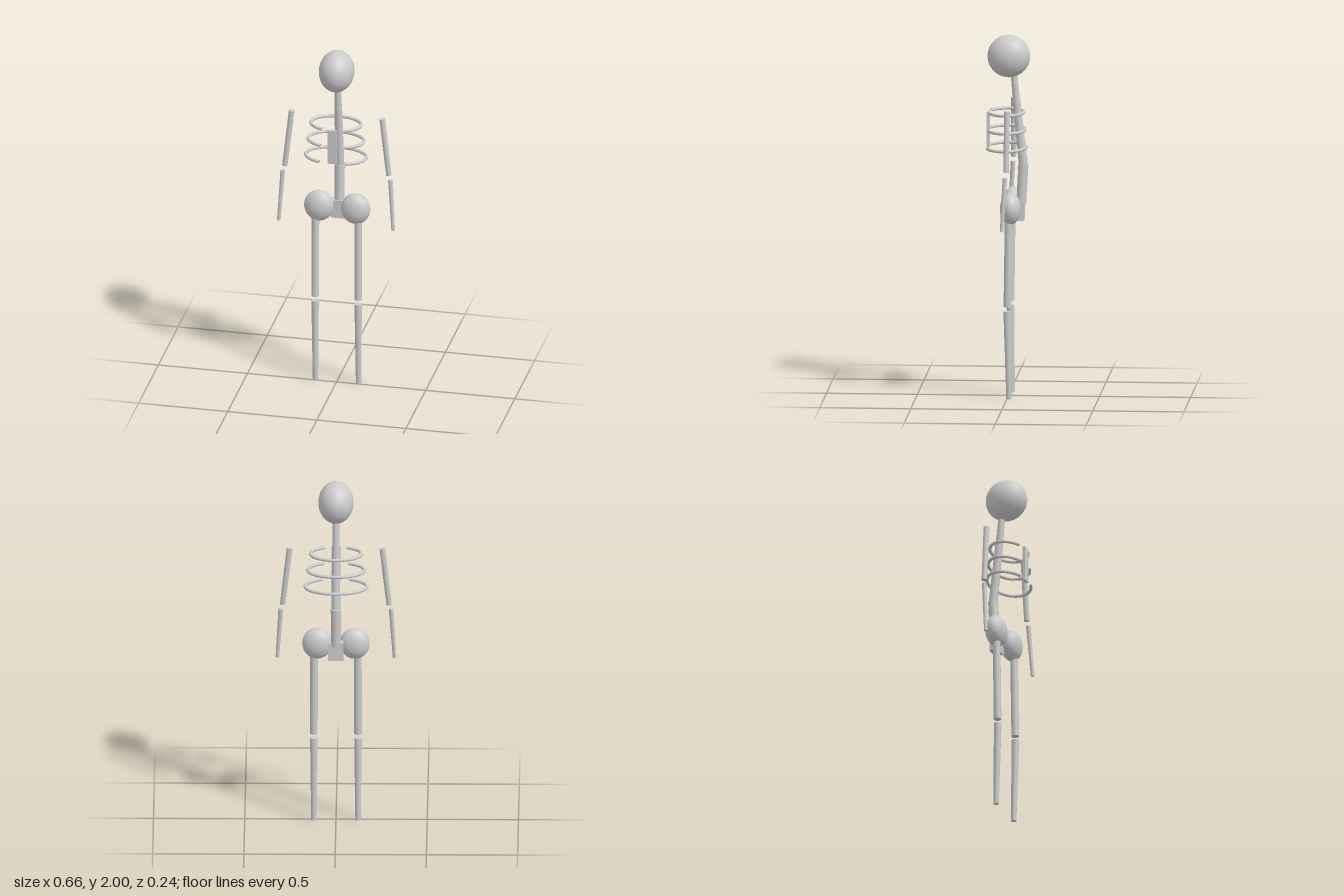
import * as THREE from 'three';

const material = new THREE.MeshStandardMaterial({ color: 0xcccccc });
const openMaterial = new THREE.MeshStandardMaterial({ color: 0xcccccc, side: THREE.DoubleSide });
const UP = new THREE.Vector3(0, 1, 0);

function add(parent, name, geometry, mat = material) {
  const mesh = new THREE.Mesh(geometry, mat);
  mesh.name = name;
  parent.add(mesh);
  return mesh;
}

// Tapered cylinder running from one point to another
function bone(parent, name, top, bottom, rTop, rBottom) {
  const a = new THREE.Vector3(...top);
  const b = new THREE.Vector3(...bottom);
  const mesh = add(parent, name, new THREE.CylinderGeometry(rTop, rBottom, a.distanceTo(b), 16));
  mesh.position.copy(a).add(b).multiplyScalar(0.5);
  mesh.quaternion.setFromUnitVectors(UP, a.sub(b).normalize());
}

function ellipsoid(parent, name, centre, radii) {
  const mesh = add(parent, name, new THREE.SphereGeometry(1, 32, 24));
  mesh.position.set(...centre);
  mesh.scale.set(...radii);
}

function box(parent, name, centre, size) {
  add(parent, name, new THREE.BoxGeometry(...size)).position.set(...centre);
}

// Elliptical hoop around the back, open at the front
class RibCurve extends THREE.Curve {
  constructor(rx, rz, y, z) {
    super();
    Object.assign(this, { rx, rz, y, z });
  }
  getPoint(t, target = new THREE.Vector3()) {
    const gap = 0.45;
    const angle = gap + t * (2 * Math.PI - 2 * gap);
    return target.set(this.rx * Math.sin(angle), this.y, this.z + this.rz * Math.cos(angle));
  }
}

export function createModel() {
  const model = new THREE.Group();
  model.name = 'skeleton';

  ellipsoid(model, 'skull', [0, 1.883, -0.002], [0.097, 0.117, 0.117]);

  // Spine
  bone(model, 'neck', [0, 1.79, -0.03], [0, 1.65, -0.043], 0.018, 0.02);
  bone(model, 'upperSpine', [0, 1.65, -0.043], [0, 1.283, -0.082], 0.021, 0.025);
  bone(model, 'lowerSpine', [0, 1.283, -0.082], [0, 1.06, -0.07], 0.028, 0.027);
  box(model, 'sacrum', [0, 1.028, -0.062], [0.084, 0.105, 0.05]);

  // Rib cage
  const ribCage = new THREE.Group();
  ribCage.name = 'ribCage';
  model.add(ribCage);
  [[0.139, 0.096, 1.572], [0.155, 0.103, 1.475], [0.169, 0.109, 1.378]].forEach(([rx, rz, y]) => {
    add(ribCage, 'rib', new THREE.TubeGeometry(new RibCurve(rx, rz, y, 0.012), 64, 0.009, 10), openMaterial);
  });
  box(ribCage, 'sternum', [0, 1.475, 0.111], [0.05, 0.2, 0.014]);

  // Hips and limbs, mirrored left and right
  for (const s of [1, -1]) {
    const side = s > 0 ? 'left' : 'right';
    ellipsoid(model, side + 'Hip', [s * 0.103, 1.053, -0.018], [0.082, 0.089, 0.057]);
    bone(model, side + 'Thigh', [s * 0.12, 1.04, -0.01], [s * 0.121, 0.51, -0.003], 0.021, 0.021);
    bone(model, side + 'Shin', [s * 0.121, 0.484, -0.002], [s * 0.121, 0, -0.012], 0.021, 0.015);
    bone(model, side + 'UpperArm', [s * 0.254, 1.615, -0.011], [s * 0.292, 1.28, -0.008], 0.016, 0.015);
    bone(model, side + 'Forearm', [s * 0.302, 1.253, -0.003], [s * 0.321, 0.957, 0.014], 0.013, 0.01);
  }
  return model;
}
